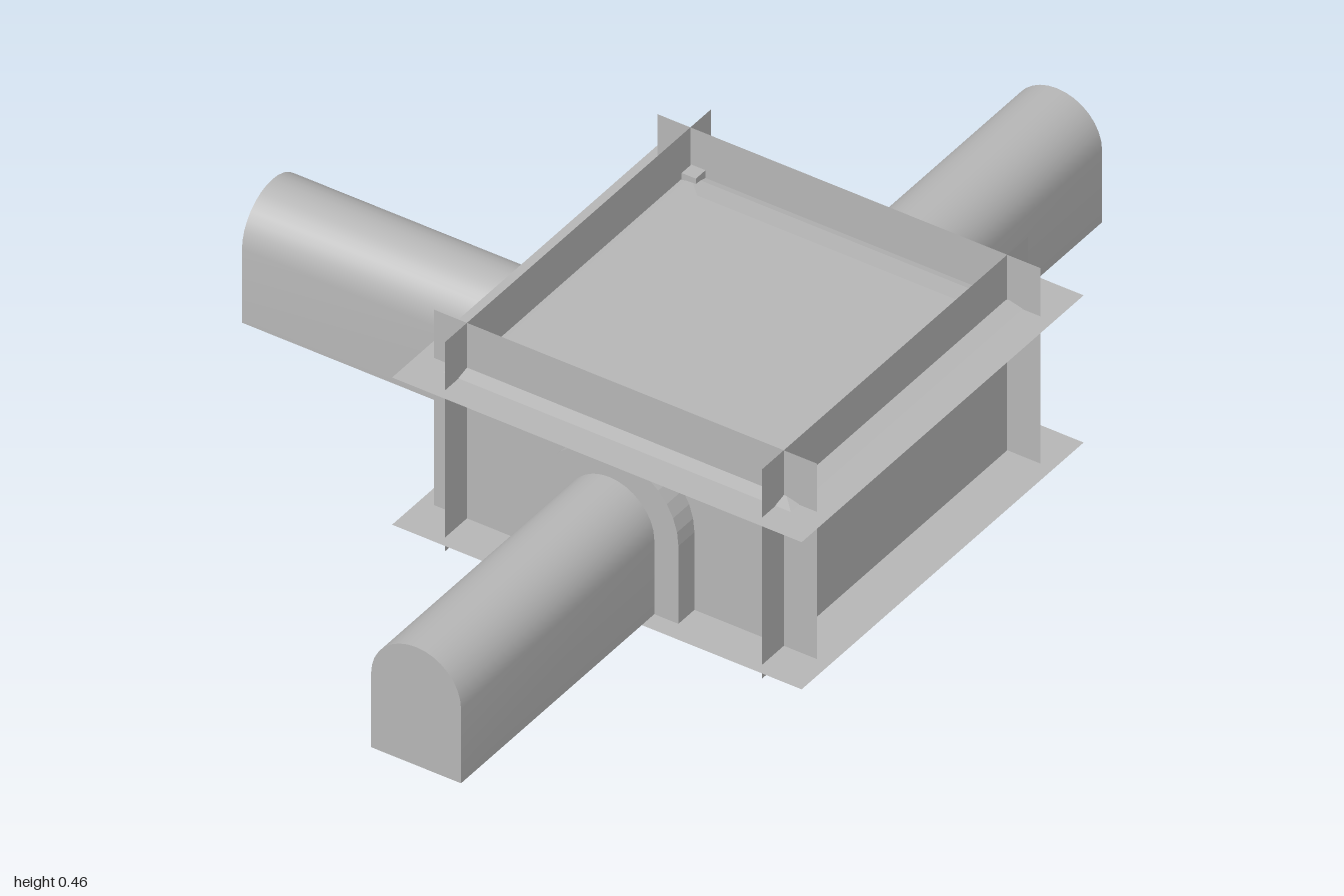
import * as THREE from 'three';
import { toCreasedNormals } from 'three/addons/utils/BufferGeometryUtils.js';

export function createModel() {
  const model = new THREE.Group();
  model.name = 'chamberWithTunnels';
  const stone = new THREE.MeshStandardMaterial({ color: 0xb6b6b6, side: THREE.DoubleSide });
  stone.name = 'grey stone';

  const add = (name, geometry, parent = model) => {
    const mesh = new THREE.Mesh(geometry, stone);
    mesh.name = name;
    parent.add(mesh);
    return mesh;
  };

  // Room centre and wall planes
  const cx = 0.275, floorY = 0.03, ceilingY = 0.35;

  // Front and back walls, running past the side walls
  for (const [name, z] of [['frontWall', 0.347], ['backWall', -0.35]]) {
    add(name, new THREE.PlaneGeometry(0.81, 0.455)).position.set(cx, 0.2275, z);
  }
  // Side walls, crossing the front and back walls
  for (const [name, x] of [['rightWall', -0.06], ['leftWall', 0.61]]) {
    const wall = add(name, new THREE.PlaneGeometry(0.83, 0.455));
    wall.rotation.y = Math.PI / 2;
    wall.position.set(x, 0.2275, 0);
  }
  // Floor and ceiling sheets, overhanging the walls
  for (const [name, y] of [['floor', floorY], ['ceiling', ceilingY]]) {
    const sheet = add(name, new THREE.PlaneGeometry(0.866, 0.88));
    sheet.rotation.x = -Math.PI / 2;
    sheet.position.set(cx, y, -0.004);
  }

  // Low raised panel on the ceiling, sloping up in two steps
  const rings = [[0.368, 0.376, 0], [0.325, 0.333, 0.011], [0.28, 0.288, 0.015]];
  const pos = [], idx = [];
  for (const [hx, hz, y] of rings) {
    for (const [sx, sz] of [[-1, -1], [-1, 1], [1, 1], [1, -1]]) pos.push(sx * hx, y, sz * hz);
  }
  for (let r = 0; r < 2; r++) {
    for (let i = 0; i < 4; i++) {
      const a = r * 4 + i, b = r * 4 + (i + 1) % 4;
      idx.push(a, b, b + 4, a, b + 4, a + 4);
    }
  }
  idx.push(8, 9, 10, 8, 10, 11);
  const panel = new THREE.BufferGeometry();
  panel.setAttribute('position', new THREE.Float32BufferAttribute(pos, 3));
  panel.setIndex(idx);
  const flatPanel = panel.toNonIndexed();
  flatPanel.computeVertexNormals();
  add('ceilingPanel', flatPanel).position.set(cx, ceilingY + 0.001, -0.002);

  // Corner posts, their tops poking through the ceiling
  for (const x of [-0.043, 0.593]) {
    for (const z of [-0.335, 0.33]) {
      add('cornerPost', new THREE.BoxGeometry(0.03, 0.345, 0.03)).position.set(x, floorY + 0.1725, z);
    }
  }

  // Outline of a round-topped doorway standing on y = 0
  const archPath = (Type, r, spring) => {
    const path = new Type();
    path.moveTo(-r, 0);
    path.lineTo(r, 0);
    path.lineTo(r, spring);
    path.absarc(0, spring, r, 0, Math.PI, false);
    path.lineTo(-r, 0);
    return path;
  };

  // A tunnel leaving the room along its own +z, with a block surround at the wall
  function addTunnel(name, x, z, angle, length, height) {
    const group = new THREE.Group();
    group.name = name;
    group.position.set(x, floorY, z);
    group.rotation.y = angle;
    const r = 0.095;
    const body = new THREE.ExtrudeGeometry(archPath(THREE.Shape, r, height - r), {
      depth: length, bevelEnabled: false, curveSegments: 8,
    });
    add('tunnelBody', toCreasedNormals(body, 0.6), group);

    // Surround, open at the bottom
    const outer = 0.146, inner = 0.09, spring = 0.169;
    const ring = new THREE.Shape();
    ring.moveTo(inner, 0);
    ring.lineTo(outer, 0);
    ring.lineTo(outer, spring);
    ring.absarc(0, spring, outer, 0, Math.PI, false);
    ring.lineTo(-outer, 0);
    ring.lineTo(-inner, 0);
    ring.lineTo(-inner, spring);
    ring.absarc(0, spring, inner, Math.PI, 0, true);
    ring.lineTo(inner, 0);
    add('doorSurround', new THREE.ExtrudeGeometry(ring, {
      depth: 0.05, bevelEnabled: false, curveSegments: 8,
    }), group);
    model.add(group);
  }
  addTunnel('frontTunnel', cx, 0.347, 0, 0.653, 0.257);
  addTunnel('backTunnel', cx, -0.35, Math.PI, 0.65, 0.252);
  addTunnel('rightTunnel', -0.06, -0.005, -Math.PI / 2, 0.65, 0.254);

  return model;
}
